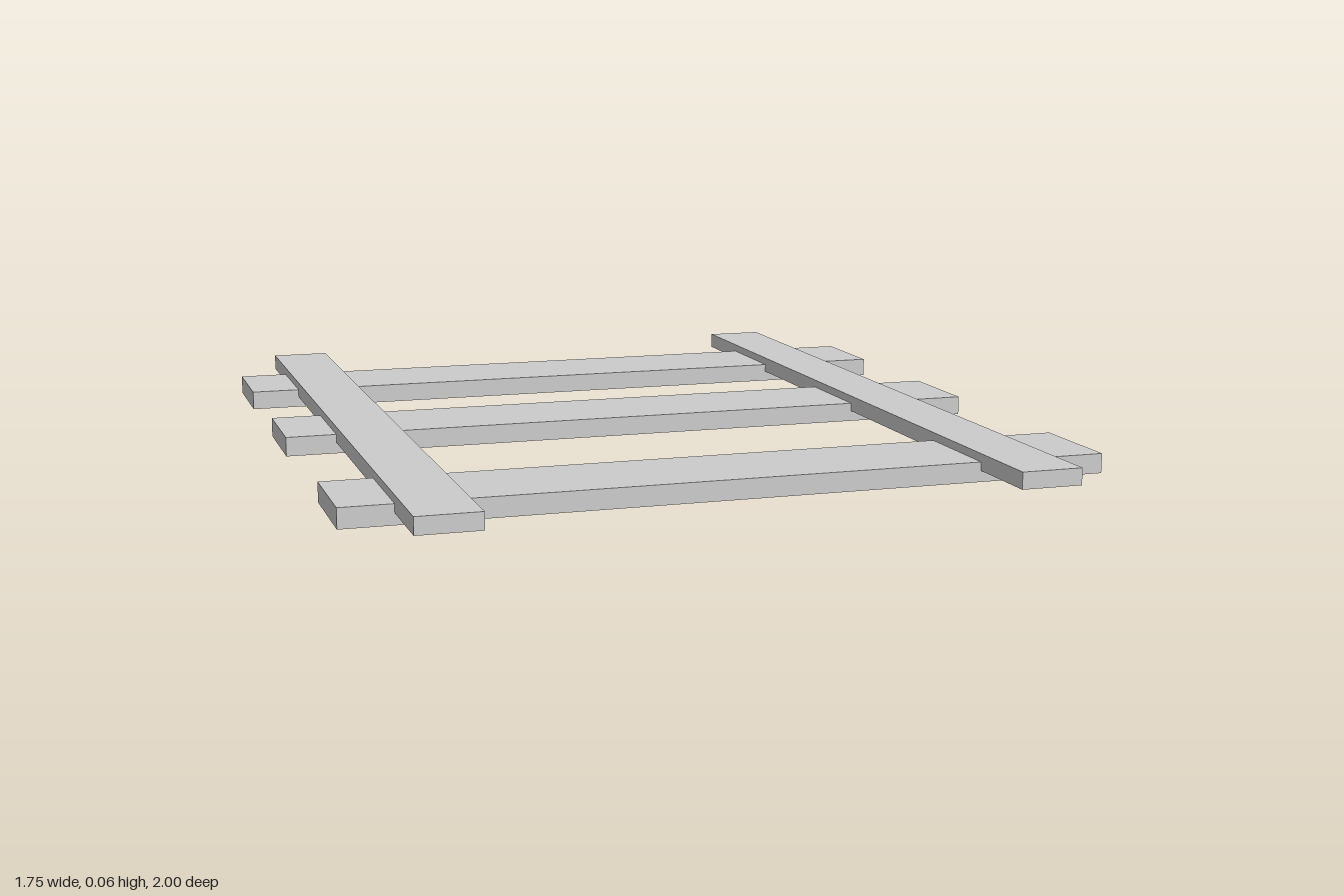
import * as THREE from 'three';

export function createModel() {
  const group = new THREE.Group();
  const material = new THREE.MeshStandardMaterial({ color: 0xcccccc, flatShading: true });

  // A plank resting with its underside at height y
  function plank(name, width, height, depth, x, y, z) {
    const mesh = new THREE.Mesh(new THREE.BoxGeometry(width, height, depth), material);
    mesh.name = name;
    mesh.position.set(x, y + height / 2, z);
    group.add(mesh);
  }

  // Three wide cross planks on the ground
  [['frontCrossPlank', 0.681], ['middleCrossPlank', -0.051], ['backCrossPlank', -0.666]]
    .forEach(([name, z]) => plank(name, 1.754, 0.046, 0.247, 0, 0, z));

  // Two long rails let into the tops of the cross planks
  [['rightRail', -0.685], ['leftRail', 0.644]]
    .forEach(([name, x]) => plank(name, 0.144, 0.039, 2, x, 0.026, 0));

  return group;
}
